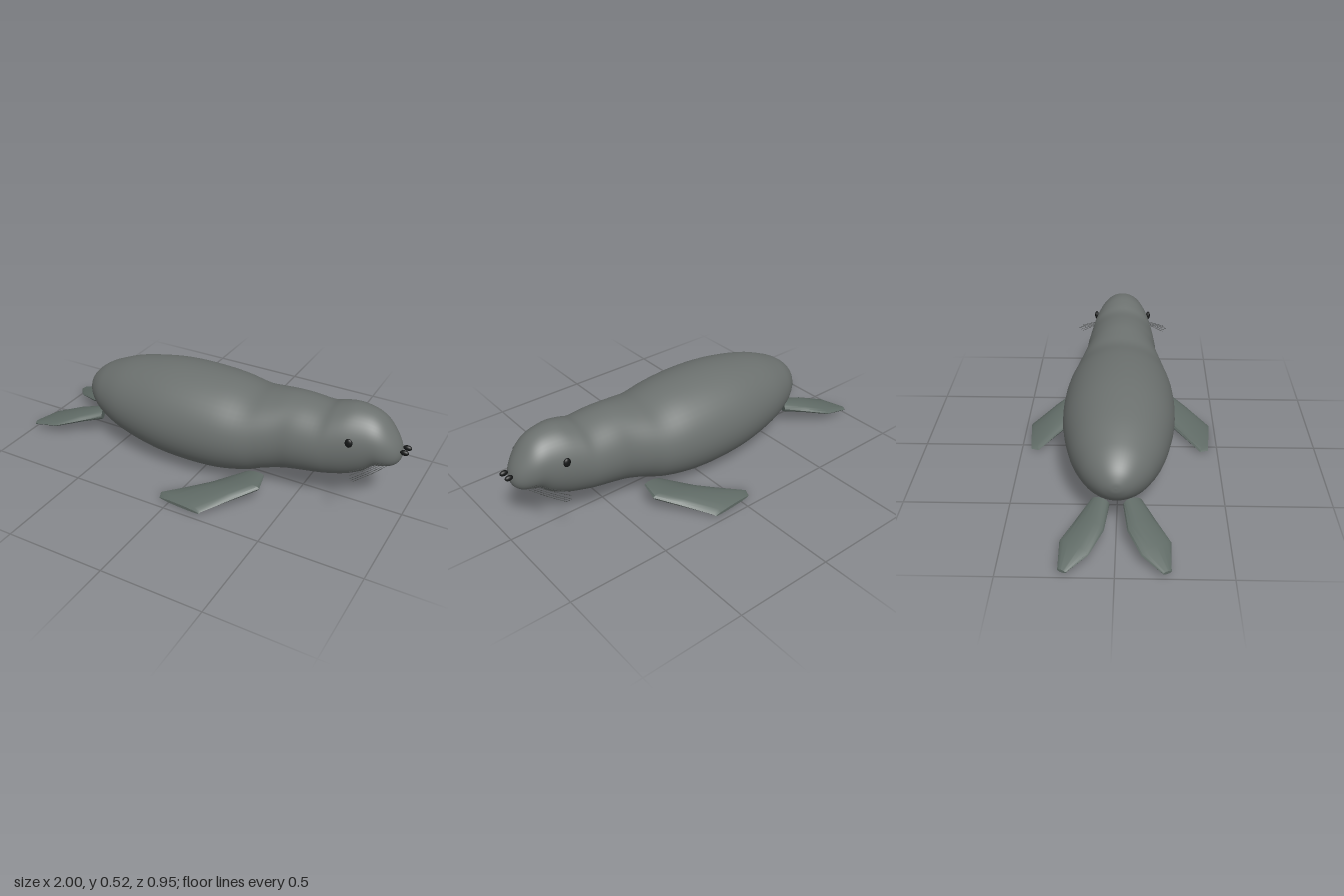
import * as THREE from 'three';
import { toCreasedNormals } from 'three/addons/utils/BufferGeometryUtils.js';

const skin = new THREE.MeshStandardMaterial({ color: 0x6c716f });
const flipperSkin = new THREE.MeshStandardMaterial({ color: 0x5f6a65 });
const black = new THREE.MeshStandardMaterial({ color: 0x151717 });
const whiskerMaterial = new THREE.MeshStandardMaterial({ color: 0x4a4d4c });

// Closed skin through rings of equal point count; both ends are closed to their centre.
function loft(rings) {
  const n = rings[0].length;
  const centre = (ring) => {
    const c = new THREE.Vector3();
    ring.forEach((p) => c.addScaledVector(p, 1 / n));
    return c;
  };
  const points = rings.flat();
  const index = [];
  for (let i = 0; i < rings.length - 1; i++) {
    for (let j = 0; j < n; j++) {
      const a = i * n + j, b = i * n + (j + 1) % n;
      index.push(a, b, a + n, b, b + n, a + n);
    }
  }
  const first = points.length, last = first + 1, end = (rings.length - 1) * n;
  points.push(centre(rings[0]), centre(rings[rings.length - 1]));
  for (let j = 0; j < n; j++) {
    const k = (j + 1) % n;
    index.push(first, k, j, last, end + j, end + k);
  }
  const geometry = new THREE.BufferGeometry().setFromPoints(points);
  geometry.setIndex(index);
  geometry.computeVertexNormals();
  return geometry;
}

function addMesh(parent, name, geometry, material) {
  const mesh = new THREE.Mesh(geometry, material);
  mesh.name = name;
  parent.add(mesh);
  return mesh;
}

function addEllipsoid(parent, name, position, radii) {
  const mesh = addMesh(parent, name, new THREE.SphereGeometry(1, 20, 14), black);
  mesh.position.set(...position);
  mesh.scale.set(...radii);
}

// Body, neck, head and muzzle profile: x, top, bottom, half width
const profile = [
  [-0.730, 0.268, 0.262, 0.003], [-0.725, 0.295, 0.235, 0.034],
  [-0.700, 0.339, 0.191, 0.081], [-0.650, 0.384, 0.146, 0.130],
  [-0.580, 0.422, 0.108, 0.173], [-0.450, 0.468, 0.062, 0.223],
  [-0.250, 0.504, 0.026, 0.263], [-0.070, 0.513, 0.016, 0.273],
  [0.100, 0.505, 0.025, 0.264], [0.240, 0.485, 0.055, 0.240],
  [0.330, 0.495, 0.088, 0.214], [0.420, 0.507, 0.113, 0.190],
  [0.500, 0.507, 0.130, 0.185], [0.600, 0.501, 0.146, 0.176],
  [0.660, 0.519, 0.157, 0.166], [0.730, 0.533, 0.175, 0.150],
  [0.800, 0.526, 0.210, 0.131], [0.850, 0.506, 0.252, 0.115],
  [0.890, 0.474, 0.263, 0.098], [0.930, 0.425, 0.274, 0.070],
  [0.955, 0.380, 0.298, 0.040], [0.966, 0.340, 0.332, 0.004],
];

function bodyGeometry() {
  const smooth = (rule) => new THREE.CatmullRomCurve3(
    profile.map((p) => new THREE.Vector3(...rule(p))), false, 'catmullrom', 0.5);
  const spine = smooth(([x, top, bottom]) => [x, (top + bottom) / 2, 0]);
  const size = smooth(([x, top, bottom, width]) => [x, (top - bottom) / 2, width]);
  const steps = (profile.length - 1) * 4, sides = 48;
  const rings = [];
  for (let i = 0; i <= steps; i++) {
    const c = spine.getPoint(i / steps), r = size.getPoint(i / steps);
    rings.push(Array.from({ length: sides }, (_, j) => {
      const a = (j / sides) * Math.PI * 2;
      return new THREE.Vector3(c.x, c.y + Math.cos(a) * r.y, Math.sin(a) * r.z);
    }));
  }
  return loft(rings);
}

// Flipper sections from root to tip: leading edge, trailing edge, half thickness
const frontFlipper = [
  [[0.36, 0.108, 0.16], [0.25, 0.085, 0.15], 0.018],
  [[0.385, 0.105, 0.262], [0.13, 0.055, 0.27], 0.028],
  [[0.30, 0.075, 0.35], [0.05, 0.040, 0.33], 0.026],
  [[0.185, 0.030, 0.465], [-0.067, 0.022, 0.412], 0.016],
  [[0.18, 0.024, 0.473], [-0.05, 0.020, 0.452], 0.008],
];
const rearFlipper = [
  [[-0.625, 0.125, 0.115], [-0.66, 0.130, 0.03], 0.030],
  [[-0.73, 0.100, 0.175], [-0.80, 0.098, 0.05], 0.025],
  [[-0.84, 0.072, 0.238], [-0.925, 0.068, 0.11], 0.017],
  [[-0.985, 0.040, 0.236], [-1.0, 0.037, 0.20], 0.007],
];

function flipperGeometry(sections, side) {
  const sides = 16;
  const rings = sections.map(([lead, trail, half]) => {
    const a = new THREE.Vector3(lead[0], lead[1], lead[2] * side);
    const b = new THREE.Vector3(trail[0], trail[1], trail[2] * side);
    const middle = a.clone().add(b).multiplyScalar(0.5);
    const reach = b.clone().sub(a).multiplyScalar(side / 2);
    return Array.from({ length: sides }, (_, j) => {
      const t = (j / sides) * Math.PI * 2;
      const p = middle.clone().addScaledVector(reach, Math.sin(t));
      p.y += Math.cos(t) * half;
      return p;
    });
  });
  return toCreasedNormals(loft(rings), 0.6);
}

export function createModel() {
  const model = new THREE.Group();
  model.name = 'seal';
  addMesh(model, 'body', bodyGeometry(), skin);

  for (const side of [1, -1]) {
    const label = side > 0 ? 'left' : 'right';
    addMesh(model, `${label}FrontFlipper`, flipperGeometry(frontFlipper, side), flipperSkin);
    addMesh(model, `${label}RearFlipper`, flipperGeometry(rearFlipper, side), flipperSkin);
    addEllipsoid(model, `${label}Eye`, [0.757, 0.412, side * 0.146], [0.018, 0.022, 0.011]);
    addEllipsoid(model, `${label}Nostril`, [0.978, 0.361, side * 0.023], [0.02, 0.013, 0.011]);

    // Whiskers fan out sideways and slightly back
    const whiskers = new THREE.Group();
    whiskers.name = `${label}Whiskers`;
    model.add(whiskers);
    for (let i = 0; i < 5; i++) {
      const f = i / 4 - 0.5;
      const path = new THREE.CatmullRomCurve3([
        new THREE.Vector3(0.91 - f * 0.02, 0.31 + f * 0.02, side * 0.07),
        new THREE.Vector3(0.865 - f * 0.02, 0.309 + f * 0.03, side * 0.16),
        new THREE.Vector3(0.81 - f * 0.02, 0.305 + f * 0.045, side * (0.255 - Math.abs(f) * 0.04)),
      ]);
      addMesh(whiskers, 'whisker', new THREE.TubeGeometry(path, 8, 0.0012, 5), whiskerMaterial);
    }
  }
  return model;
}
